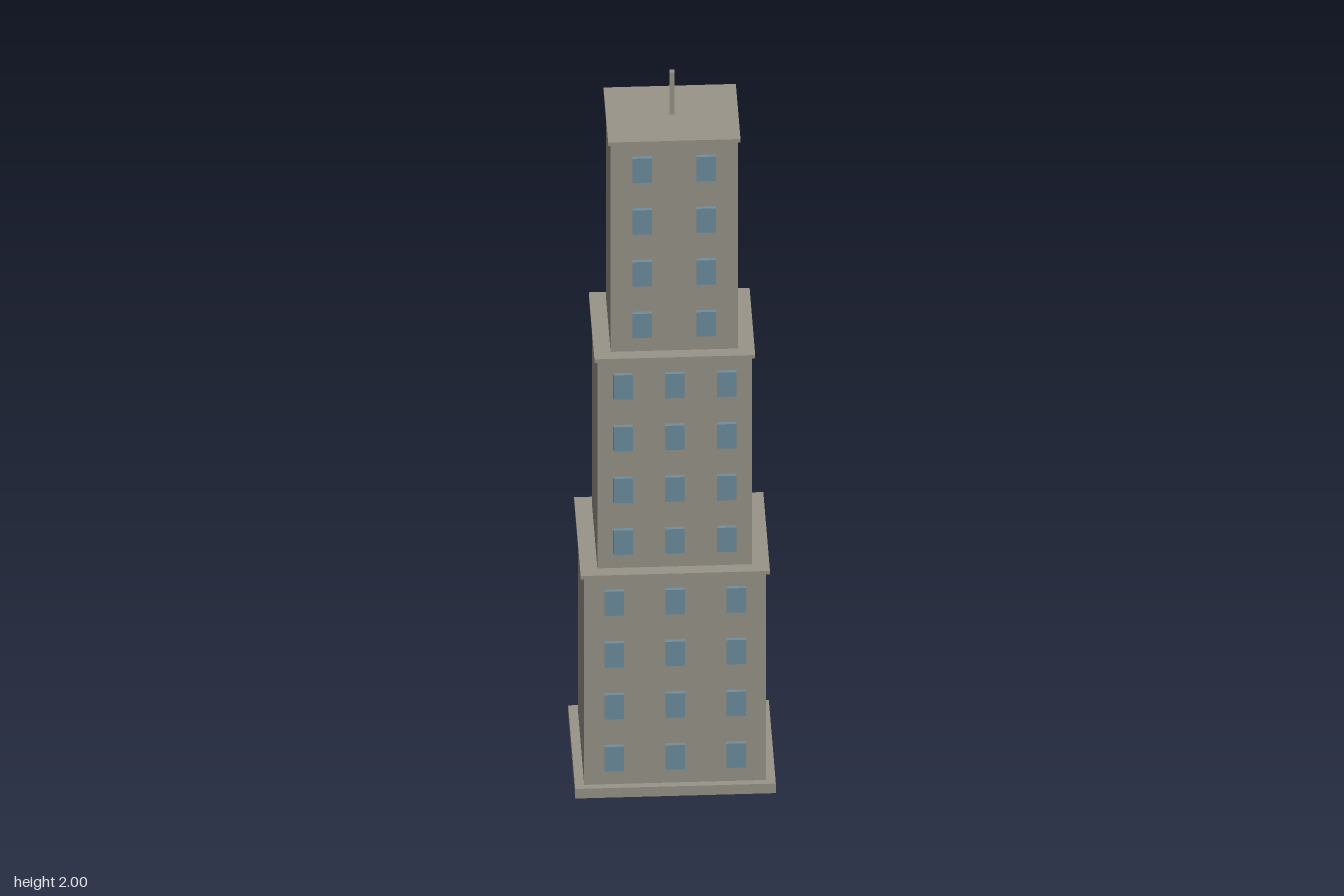
import * as THREE from 'three';

const stone = new THREE.MeshStandardMaterial({ color: 0x99958a });
stone.name = 'stone';
const glass = new THREE.MeshStandardMaterial({ color: 0x6f8fa0 });
glass.name = 'glass';

// Box standing on height y
function block(name, w, h, d, y, material = stone) {
  const mesh = new THREE.Mesh(new THREE.BoxGeometry(w, h, d), material);
  mesh.name = name;
  mesh.position.y = y + h / 2;
  return mesh;
}

const BASE = 0.028, TIER = 0.616, CORNICE = 0.01, FLOOR = 0.1515, FLOORS = 4;

// One setback storey block: walls, cornice and windows on front and back
function createTier(name, w, d, columns) {
  const tier = new THREE.Group();
  tier.name = name;
  tier.add(block('walls', w, TIER - CORNICE, d, 0));
  tier.add(block('cornice', w * 1.04, CORNICE, d * 1.04, TIER - CORNICE));

  const pane = new THREE.BoxGeometry(0.047, 0.071, 0.0095);
  for (const side of [1, -1]) {
    for (let floor = 0; floor < FLOORS; floor++) {
      for (const x of columns) {
        const win = new THREE.Mesh(pane, glass);
        win.name = 'window';
        win.position.set(x, 0.08 + floor * FLOOR, side * (d / 2 + 0.00475));
        tier.add(win);
      }
    }
  }
  return tier;
}

export function createModel() {
  const tower = new THREE.Group();
  tower.name = 'tower';
  tower.add(block('plinth', 0.484, BASE, 0.355, 0));

  const tiers = [
    ['lowerTier', 0.439, 0.322, [-0.147, 0, 0.147]],
    ['middleTier', 0.373, 0.274, [-0.125, 0, 0.125]],
    ['upperTier', 0.307, 0.225, [-0.077, 0.077]],
  ];
  tiers.forEach(([name, w, d, columns], i) => {
    const tier = createTier(name, w, d, columns);
    tier.position.y = BASE + i * TIER;
    tower.add(tier);
  });

  // Rooftop mast
  const roof = BASE + tiers.length * TIER;
  tower.add(block('mast', 0.012, 2 - roof, 0.012, roof));
  return tower;
}
